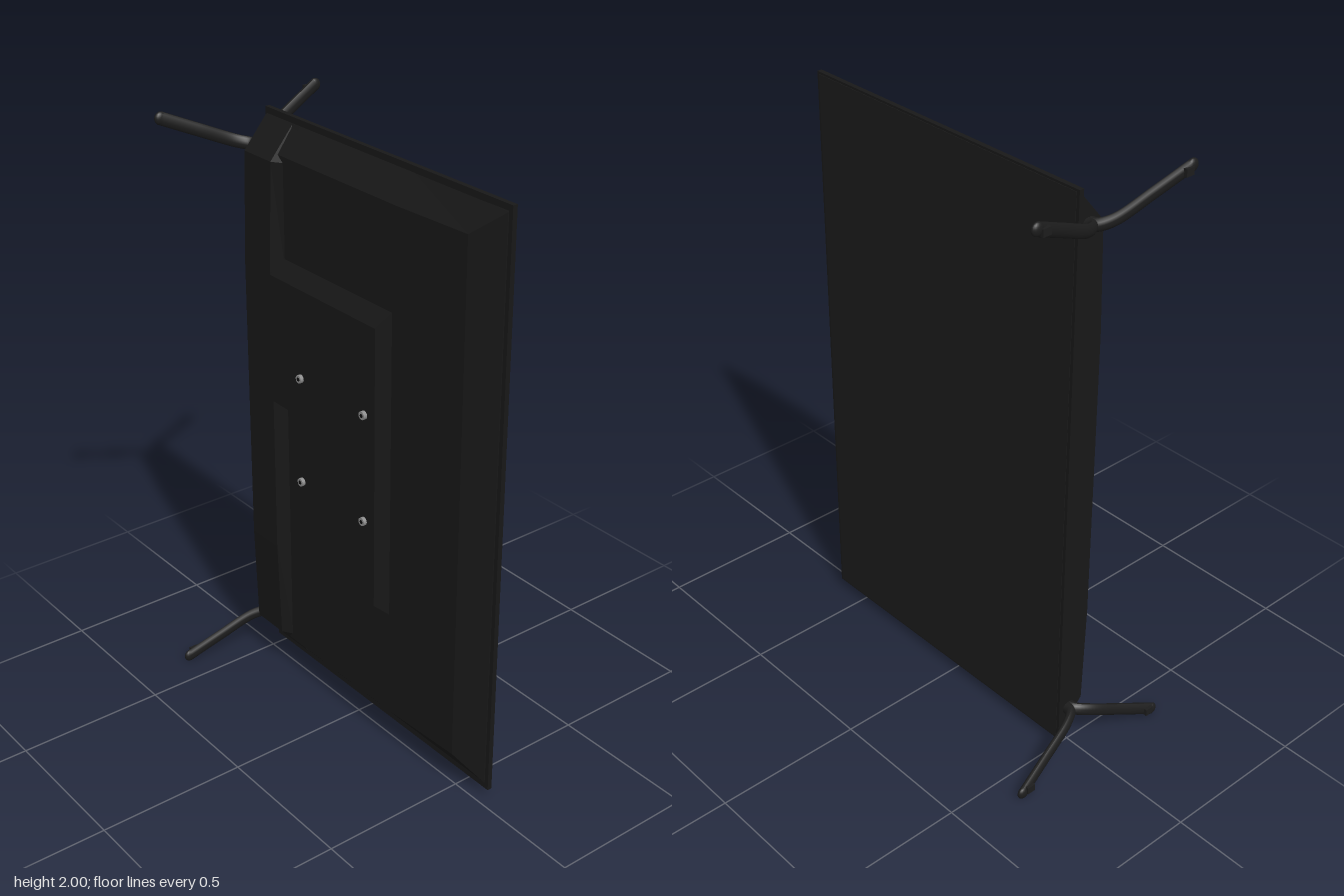
import * as THREE from 'three';

const paint = (name, color) => {
  const m = new THREE.MeshStandardMaterial({ color });
  m.name = name;
  return m;
};

// Faceted solid through matching loops of points, each loop anticlockwise about the travel direction.
function loft(loops) {
  const pos = [];
  const tri = (a, b, c) => pos.push(...a, ...b, ...c);
  for (let s = 0; s < loops.length - 1; s++) {
    const a = loops[s], b = loops[s + 1], n = a.length;
    for (let i = 0; i < n; i++) {
      const j = (i + 1) % n;
      tri(a[i], a[j], b[j]);
      tri(a[i], b[j], b[i]);
    }
  }
  const first = loops[0], last = loops[loops.length - 1];
  for (let i = 1; i < first.length - 1; i++) {
    tri(first[0], first[i + 1], first[i]);
    tri(last[0], last[i], last[i + 1]);
  }
  const g = new THREE.BufferGeometry();
  g.setAttribute('position', new THREE.Float32BufferAttribute(pos, 3));
  g.computeVertexNormals();
  return g;
}

export function createModel() {
  const model = new THREE.Group();
  const screenMat = paint('screen black', 0x1b1b1b);
  const bodyMat = paint('casing black', 0x181818);
  const legMat = paint('leg black', 0x1c1c1c);
  const steel = paint('steel', 0x8c8c8c);
  const dark = paint('port black', 0x0c0c0c);

  const add = (name, geo, mat, parent = model) => {
    const mesh = new THREE.Mesh(geo, mat);
    mesh.name = name;
    parent.add(mesh);
    return mesh;
  };
  const box = (name, size, at, mat, parent) => {
    const m = add(name, new THREE.BoxGeometry(...size), mat, parent);
    m.position.set(...at);
    return m;
  };

  // Thin display panel with the screen facing +x
  box('panelFrame', [0.016, 1.945, 1.125], [0.041, 1.005, 0.0525], bodyMat);
  box('screen', [0.002, 1.93, 1.105], [0.0495, 1.005, 0.0535], screenMat);

  // Rear casing with sloped ends and a sloped far edge
  const casing = (z, back, low, high) => [
    [0.035, 0.05, z], [0.035, 1.96, z], [back, high, z], [back, low, z],
  ];
  add('rearCasing', loft([
    casing(-0.5, -0.033, 0.13, 1.875),
    casing(0.2, -0.033, 0.13, 1.875),
    casing(0.5, -0.02, 0.13, 1.875),
    casing(0.6, 0.03, 0.055, 1.955),
  ]), bodyMat);

  // Thick strip along the foot edge, slightly bowed along its length
  const strip = (z, end, middle) => [
    [0.03, 0.052, z], [0.03, 1.956, z], [end, 1.855, z], [middle, 1.5, z],
    [middle, 0.5, z], [end, 0.15, z],
  ];
  add('edgeStrip', loft([
    strip(-0.502, -0.055, -0.066),
    strip(-0.365, -0.055, -0.066),
    strip(-0.33, -0.032, -0.032),
  ]), bodyMat);

  // Central electronics housing, notched for the connectors
  const housing = (x, low, high, far) => [
    [x, 1.05, -0.26], [x, low, -0.26], [x, low, far],
    [x, high, far], [x, high, -0.365], [x, 1.05, -0.365],
  ];
  add('rearHousing', loft([
    housing(-0.03, 0.5, 1.55, 0.2),
    housing(-0.0665, 0.53, 1.49, 0.16),
  ]), bodyMat);

  // Connectors on the wall of the notch
  const ports = new THREE.Group();
  ports.name = 'connectors';
  model.add(ports);
  for (let i = 0; i < 8; i++) {
    const y = 0.6 + i * 0.04;
    box('portRim', [0.016, 0.024, 0.006], [-0.05, y, -0.261], steel, ports);
    box('portOpening', [0.01, 0.017, 0.003], [-0.05, y, -0.264], dark, ports);
  }

  // Four wall mount screws
  for (const y of [0.82, 1.19]) {
    for (const z of [-0.21, 0.11]) {
      const screw = add('mountScrew', new THREE.CylinderGeometry(0.014, 0.014, 0.014, 12), steel);
      screw.rotation.z = Math.PI / 2;
      screw.position.set(-0.071, y, z);
      const socket = add('screwSocket', new THREE.CylinderGeometry(0.007, 0.007, 0.002, 6), dark);
      socket.rotation.z = Math.PI / 2;
      socket.position.set(-0.078, y, z);
    }
  }

  // Two forked legs, one near each end, made of flattened tubes
  const flat = 0.55, radius = 0.021;
  for (const end of [-1, 1]) {
    const leg = new THREE.Group();
    leg.name = end > 0 ? 'upperLeg' : 'lowerLeg';
    model.add(leg);
    const yAt = (d) => 1 + end * d;
    for (const side of [-1, 1]) {
      const path = new THREE.CatmullRomCurve3([
        [0.004, 0.862, -0.485], [0.01, 0.862, -0.522], [0.055, 0.875, -0.549],
        [0.17, 0.925, -0.575], [0.29, 0.978, -0.6],
      ].map(([x, d, z]) => new THREE.Vector3(side * x, yAt(d), z / flat)));
      const tube = new THREE.TubeGeometry(path, 32, radius, 12);
      tube.scale(1, 1, flat);
      tube.computeVertexNormals();
      add('legArm', tube, legMat, leg);
      const tip = add('legTip', new THREE.SphereGeometry(radius, 16, 12), legMat, leg);
      tip.scale.z = flat;
      tip.position.set(side * 0.29, yAt(0.978), -0.6);
      box('footPad', [0.03, 0.024, 0.014], [side * 0.268, yAt(0.968), -0.608], legMat, leg);
    }
  }
  return model;
}
